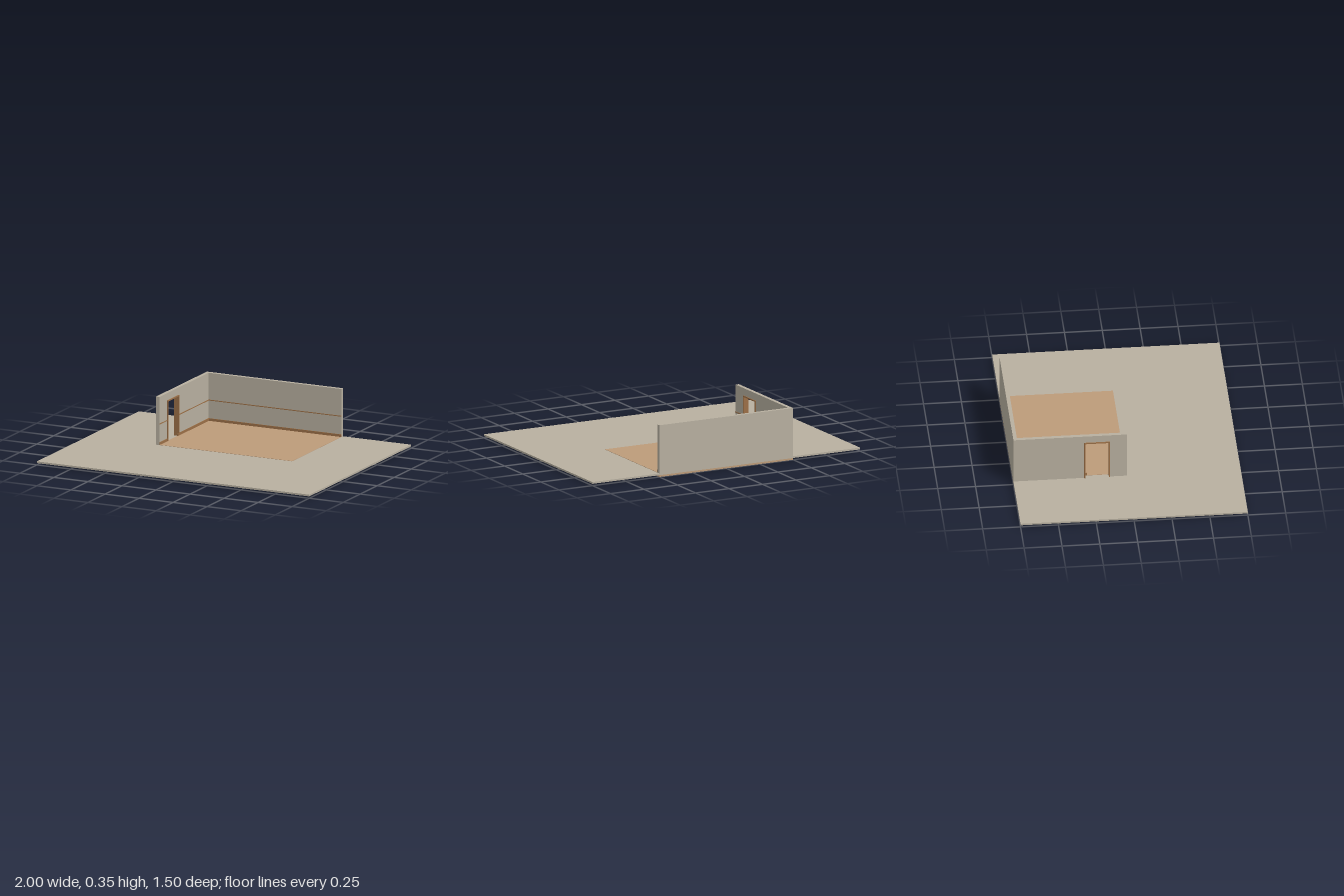
import * as THREE from 'three';

const mat = (name, color) => Object.assign(new THREE.MeshStandardMaterial({ color }), { name });

export function createModel() {
  const root = new THREE.Group();
  root.name = 'openRoom';
  const stone = mat('stone', 0xb8b0a0);
  const wood = mat('floorWood', 0xbd9b79);
  const trim = mat('trimWood', 0x9c7047);

  // Box given by its limits on each axis
  const box = (name, m, [x0, x1], [y0, y1], [z0, z1], parent = root) => {
    const mesh = new THREE.Mesh(new THREE.BoxGeometry(x1 - x0, y1 - y0, z1 - z0), m);
    mesh.position.set((x0 + x1) / 2, (y0 + y1) / 2, (z0 + z1) / 2);
    mesh.name = name;
    parent.add(mesh);
    return mesh;
  };

  // Ground slab and the wooden base below it, with a stone front edge
  const groundY = 0.024, floorY = 0.026, wallX = -0.475, wallZ = -0.725;
  box('ground', stone, [-1, 1], [0.012, groundY], [-0.75, 0.75]);
  box('floorBase', [wood, wood, wood, wood, stone, wood], [-0.5, 0.5], [0, 0.013], [-0.749, 0]);

  // Floor planks running front to back
  const planks = new THREE.Group();
  planks.name = 'floorPlanks';
  root.add(planks);
  const count = 16, width = 1 / count;
  for (let i = 0; i < count; i++) {
    const x = -0.5 + i * width;
    box('plank', wood, [Math.max(x, wallX), x + width], [0.014, floorY], [wallZ, 0], planks);
  }

  // Back wall
  const top = 0.35;
  box('backWall', stone, [-0.5, 0.5], [0.012, top], [-0.75, wallZ]);

  // Side wall with a doorway; shape x follows -z
  const d0 = 0.115, d1 = 0.28, doorTop = 0.297;
  const outline = (pts) => new THREE.Shape(pts.map(([a, b]) => new THREE.Vector2(a, b)));
  const extrudeAlongX = (name, m, shape, x0, x1) => {
    const geo = new THREE.ExtrudeGeometry(shape, { depth: x1 - x0, bevelEnabled: false });
    const mesh = new THREE.Mesh(geo.rotateY(Math.PI / 2), m);
    mesh.position.x = x0;
    mesh.name = name;
    root.add(mesh);
  };
  extrudeAlongX('doorWall', stone, outline([
    [0, 0.014], [d0, 0.014], [d0, doorTop], [d1, doorTop], [d1, 0.014],
    [-wallZ, 0.014], [-wallZ, top], [0, top],
  ]), -0.5, wallX);

  // Door frame, standing slightly proud of both wall faces
  const f = 0.008;
  extrudeAlongX('doorFrame', trim, outline([
    [d0 - 0.003, floorY - 0.002], [d0 + f - 0.003, floorY - 0.002], [d0 + f - 0.003, 0.293], [d1 - f + 0.003, 0.293],
    [d1 - f + 0.003, floorY - 0.002], [d1 + 0.003, floorY - 0.002], [d1 + 0.003, 0.301], [d0 - 0.003, 0.301],
  ]), -0.506, -0.469);

  // Skirting boards and wall rails
  const runs = [
    ['Skirting', [floorY, 0.043], 0.005, 0.262],
    ['Rail', [0.163, 0.169], 0.003, d1],
  ];
  for (const [name, y, t, start] of runs) {
    box('back' + name, trim, [wallX, 0.5], y, [wallZ, wallZ + t]);
    box('sideFront' + name, trim, [wallX, wallX + t], y, [-d0, 0]);
    box('sideBack' + name, trim, [wallX, wallX + t], y, [wallZ, -start]);
  }
  return root;
}
